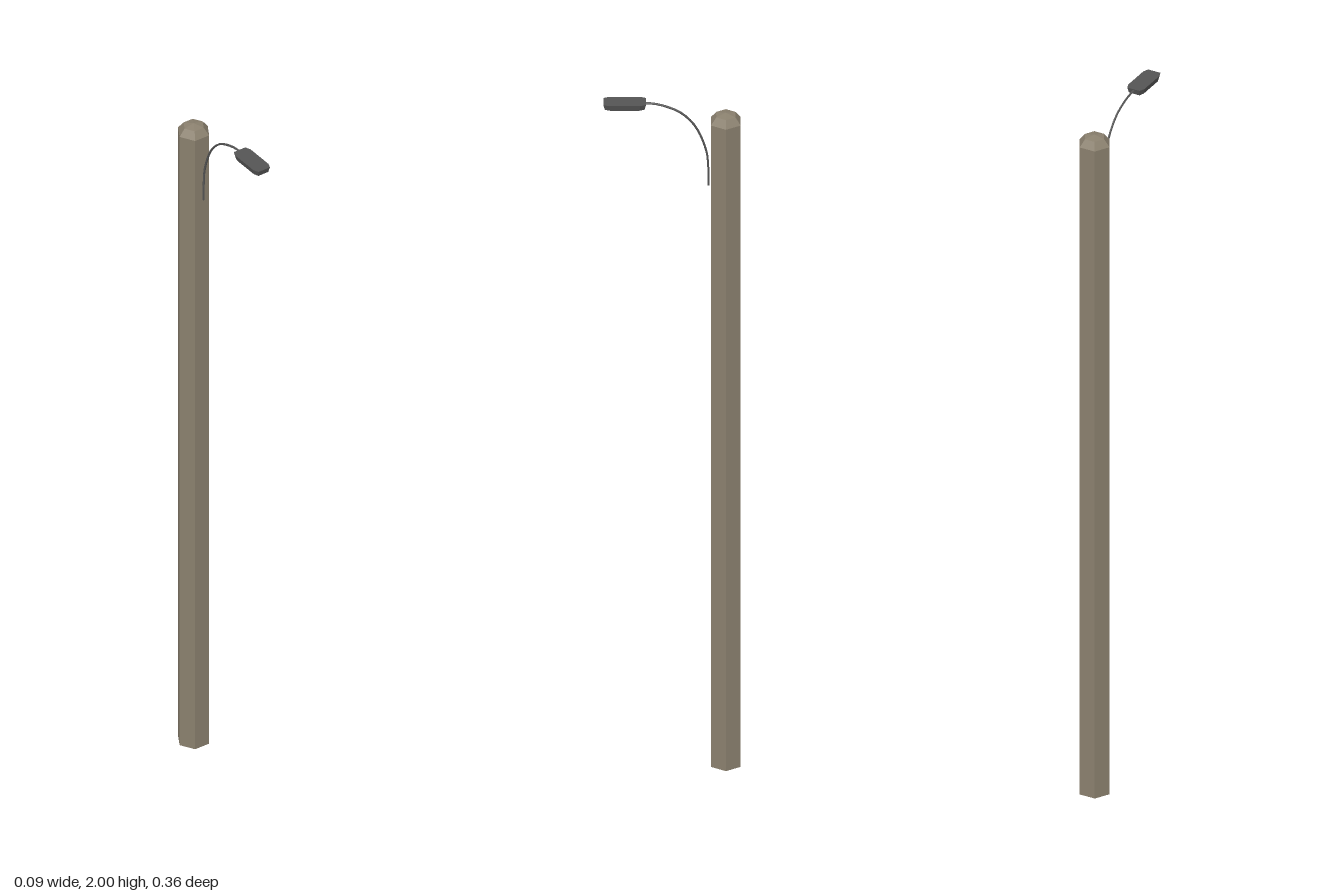
import * as THREE from 'three';

const postMat = new THREE.MeshStandardMaterial({ color: 0x8a806e, flatShading: true, side: THREE.DoubleSide });
postMat.name = 'weathered post';
const metalMat = new THREE.MeshStandardMaterial({ color: 0x555555, flatShading: true });
metalMat.name = 'dark metal';
const lightMat = new THREE.MeshStandardMaterial({ color: 0xd0c400, flatShading: true });
lightMat.name = 'yellow light';

// Eight-sided plate hanging down from y = 0, its lower face scaled by taper
function octagonPlate(halfX, halfZ, cutX, cutZ, depth, taper) {
  const a = halfX - cutX, b = halfZ - cutZ;
  const shape = new THREE.Shape([
    [a, -halfZ], [halfX, -b], [halfX, b], [a, halfZ],
    [-a, halfZ], [-halfX, b], [-halfX, -b], [-a, -halfZ],
  ].map(([x, y]) => new THREE.Vector2(x, y)));
  const geo = new THREE.ExtrudeGeometry(shape, { depth, bevelEnabled: false });
  geo.rotateX(Math.PI / 2);
  const p = geo.attributes.position;
  for (let i = 0; i < p.count; i++) {
    if (p.getY(i) < -depth / 2) p.setXYZ(i, p.getX(i) * taper, p.getY(i), p.getZ(i) * (1 - (1 - taper) * 0.5));
  }
  geo.computeVertexNormals();
  return geo;
}

export function createModel() {
  const group = new THREE.Group();
  const add = (name, geo, mat, x, y, z) => {
    const mesh = new THREE.Mesh(geo, mat);
    mesh.name = name;
    mesh.position.set(x, y, z);
    group.add(mesh);
  };

  // Hexagonal post, open underneath, with a faceted domed top
  const profile = [[0.045, 0], [0.045, 1.94], [0.029, 1.96], [0, 1.966]];
  const post = new THREE.LatheGeometry(profile.map(([r, y]) => new THREE.Vector2(r, y)), 6);
  post.rotateY(Math.PI / 2);
  add('post', post, postMat, 0, 0, -0.142);

  // Thin arm rising along the post and curving forward
  const path = new THREE.CatmullRomCurve3([
    [1.747, -0.097], [1.8, -0.096], [1.85, -0.091], [1.925, -0.062],
    [1.966, -0.024], [1.985, 0.015], [1.994, 0.05], [1.995, 0.075],
  ].map(([y, z]) => new THREE.Vector3(0, y, z)));
  add('arm', new THREE.TubeGeometry(path, 20, 0.003, 6), metalMat, 0, 0, 0);

  // Lamp head with a light panel underneath
  add('lampHead', octagonPlate(0.0245, 0.056, 0.006, 0.015, 0.016, 0.85), metalMat, 0, 2, 0.123);
  add('lightPanel', octagonPlate(0.0175, 0.046, 0.005, 0.012, 0.002, 1), lightMat, 0, 1.985, 0.123);
  return group;
}
